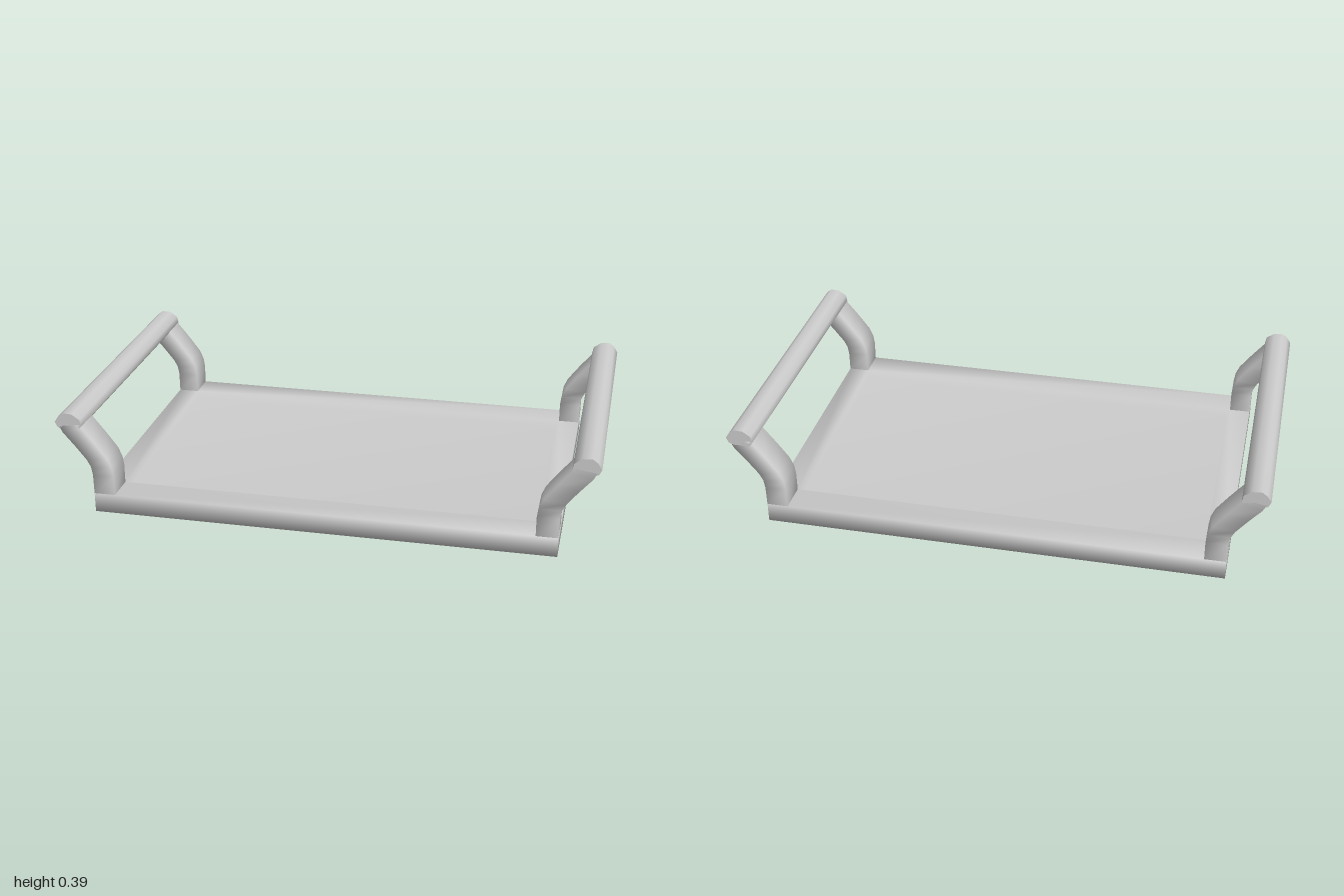
import * as THREE from 'three';
import { toCreasedNormals } from 'three/addons/utils/BufferGeometryUtils.js';

const W = 0.865, D = 0.575;      // half width and half depth of the tray
const IN_W = 0.785, IN_D = 0.46; // half size of the recess
const RIM = 0.075, FLOOR = 0.045; // rim and floor heights

// Smooth skin over a stack of four-cornered rings, corners counter-clockwise from above
function loft(rings, capped) {
  const index = [];
  for (let r = 0; r < rings.length - 1; r++) {
    for (let i = 0; i < 4; i++) {
      const a = r * 4 + i, b = r * 4 + (i + 1) % 4;
      index.push(a, b, b + 4, a, b + 4, a + 4);
    }
  }
  if (capped) {
    const e = (rings.length - 1) * 4;
    index.push(0, 2, 1, 0, 3, 2, e, e + 1, e + 2, e, e + 2, e + 3);
  }
  const geometry = new THREE.BufferGeometry();
  geometry.setAttribute('position', new THREE.Float32BufferAttribute(rings.flat(2), 3));
  geometry.setIndex(index);
  geometry.computeVertexNormals();
  return geometry;
}

const trayRing = (w, d, y) => [[-w, y, d], [w, y, d], [w, y, -d], [-w, y, -d]];

// Bent post: inner x, y and outer x, y at each station from rim to bar
const postStations = [
  [0.785, RIM, 0.865, RIM],
  [0.785, 0.15, 0.866, 0.15],
  [0.79, 0.185, 0.871, 0.182],
  [0.805, 0.22, 0.885, 0.21],
  [0.85, 0.28, 0.928, 0.264],
  [0.897, 0.338, 0.972, 0.315],
  [0.908, 0.35, 0.985, 0.34],
];

// Cross-section of the grip bar
const barProfile = [
  [0.91, 0.328], [0.898, 0.345], [0.903, 0.37], [0.932, 0.39],
  [0.966, 0.392], [0.985, 0.378], [1, 0.355], [0.99, 0.335], [0.972, 0.328],
];

export function createModel() {
  const group = new THREE.Group();
  const material = new THREE.MeshStandardMaterial({ color: 0xcccccc });

  const add = (parent, name, geometry) => {
    const mesh = new THREE.Mesh(geometry, material);
    mesh.name = name;
    parent.add(mesh);
    return mesh;
  };

  // Tray: outer wall, rim, inner wall and recessed floor in one smooth skin
  add(group, 'tray', loft([
    trayRing(W, D, 0),
    trayRing(W, D, RIM),
    trayRing(IN_W, IN_D, RIM),
    trayRing(IN_W - 0.01, IN_D - 0.01, FLOOR),
  ], true));

  // Handles: two bent posts under a full-length bar, turned half round for the other end
  for (const side of [1, -1]) {
    const handle = new THREE.Group();
    handle.name = side > 0 ? 'leftHandle' : 'rightHandle';
    handle.rotation.y = side > 0 ? 0 : Math.PI;
    group.add(handle);

    for (const [z0, z1] of [[IN_D, D], [-D, -IN_D]]) {
      const rings = postStations.map(([xi, yi, xo, yo]) =>
        [[xi, yi, z1], [xo, yo, z1], [xo, yo, z0], [xi, yi, z0]]);
      add(handle, z0 * side > 0 ? 'frontPost' : 'backPost', loft(rings, false));
    }

    const section = new THREE.Shape(barProfile.map(([x, y]) => new THREE.Vector2(x, y)));
    const bar = new THREE.ExtrudeGeometry(section, { depth: D * 2, bevelEnabled: false });
    add(handle, 'gripBar', toCreasedNormals(bar.translate(0, 0, -D), 1.2));
  }
  return group;
}
